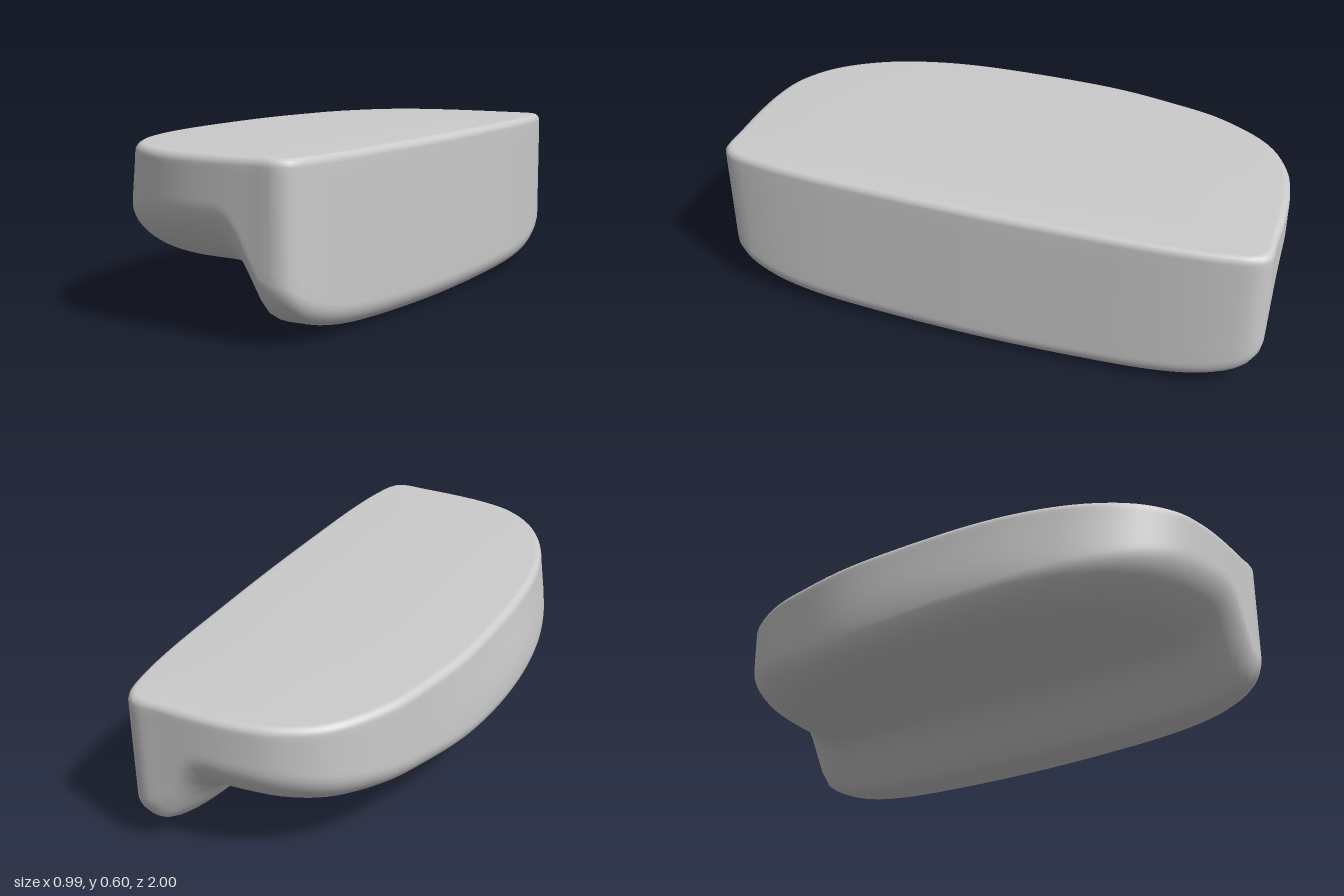
import * as THREE from 'three';

const SEG = 144;         // points around the outline
const TOP_R = 0.028;     // rounding of the upper edge
const KEEL_R = 0.075;    // rounding of the keel's lower edge
const HEIGHT = 0.6;

const { smoothstep: smooth, lerp } = THREE.MathUtils;

// D-shaped plan: straight side at +x, bowed side at -x
function planOutline() {
  const straight = [[0.488, 0.35], [0.477, 0.68], [0.457, 0.87], [0.433, 0.965], [0.4, 0.997], [0.3, 1], [0.15, 1],
    [0.02, 0.99], [-0.12, 0.957], [-0.26, 0.866]];
  const bow = [[-0.38, 0.7], [-0.459, 0.475], [-0.495, 0.18], [-0.481, -0.21], [-0.43, -0.475], [-0.376, -0.67]];
  const mirrored = straight.slice().reverse().map(([x, z]) => [x, -z]);
  const points = [[0.493, 0], ...straight, ...bow, ...mirrored];
  const curve = new THREE.CatmullRomCurve3(points.map(([x, z]) => new THREE.Vector3(x, 0, z)), true);
  return curve.getSpacedPoints(SEG).slice(0, SEG);
}

// Rise of an elliptical edge of given depth and height at distance d from the wall
const edgeRise = (d, depth, height) => {
  const w = Math.max(0, 1 - d / depth);
  return height * (1 - Math.sqrt(1 - w * w));
};

// Underside: a flat shelf with a broad soft rim that steps down to a narrow keel near +x
function underside(x, z, d) {
  const zz = Math.min(1, z * z);
  const shelf = 0.2 + 0.04 * zz + edgeRise(d, 0.14 + 0.2 * zz, 0.1 + 0.1 * zz);
  const keel = 0.002 + 0.05 * zz + 0.08 * zz ** 4 + edgeRise(d, KEEL_R, KEEL_R);
  const step = smooth(x, 0.08 * zz, 0.32 + 0.03 * zz) ** (2.2 + 0.6 * zz);
  return lerp(shelf, keel, step);
}

function bodyGeometry() {
  const outline = planOutline();
  const positions = [];
  const index = [];

  // Move an outline point inward around the edge, then by a share of the way to the core
  const inset = (p, r, share, angle) => {
    const cx = 0.1, cz = p.z * 0.5;
    const reach = Math.hypot(p.x - cx, p.z - cz);
    const edge = r * (1 - Math.cos(angle));
    const d = edge + (reach - edge) * share;
    const k = d / reach;
    return { x: p.x + (cx - p.x) * k, z: p.z + (cz - p.z) * k, d, k };
  };

  const rings = [];
  // Top face, from the core outward
  for (let i = 0; i < 8; i++) rings.push({ kind: 'top', share: 1 - i / 8, angle: Math.PI / 2 });
  // Rounded upper edge
  for (let i = 0; i < 5; i++) rings.push({ kind: 'top', share: 0, angle: (Math.PI / 2) * (1 - i / 5) });
  // Wall
  for (let i = 0; i <= 10; i++) rings.push({ kind: 'wall', share: i / 10 });
  // Rounded lower edge
  for (let i = 1; i <= 8; i++) rings.push({ kind: 'low', share: 0, angle: (Math.PI / 2) * (i / 8) });
  // Underside, back to the core
  for (let i = 1; i <= 26; i++) rings.push({ kind: 'low', share: i / 26, angle: Math.PI / 2 });

  for (const ring of rings) {
    for (const p of outline) {
      let x = p.x, y, z = p.z;
      if (ring.kind === 'wall') {
        y = lerp(HEIGHT - 0.006 - TOP_R, underside(x, z, 0), ring.share);
      } else {
        const q = inset(p, ring.kind === 'top' ? TOP_R : KEEL_R, ring.share, ring.angle);
        x = q.x;
        z = q.z;
        y = ring.kind === 'top'
          ? HEIGHT - 0.006 * (1 - q.k) ** 2 - edgeRise(q.d, TOP_R, TOP_R)
          : underside(x, z, q.d);
      }
      // The bowed side leans in towards the top, mostly at the front
      if (x < 0) x *= 1 - 0.07 * smooth(y, 0.32, 0.64) * smooth(z, -0.7, 0.2);
      positions.push(x, y, z);
    }
  }

  for (let i = 0; i < rings.length - 1; i++) {
    for (let j = 0; j < SEG; j++) {
      const a = i * SEG + j, b = i * SEG + (j + 1) % SEG;
      index.push(a, b, a + SEG, b, b + SEG, a + SEG);
    }
  }

  const geometry = new THREE.BufferGeometry();
  geometry.setAttribute('position', new THREE.Float32BufferAttribute(positions, 3));
  geometry.setIndex(index);
  geometry.computeVertexNormals();
  return geometry;
}

export function createModel() {
  const group = new THREE.Group();
  group.name = 'roundedBlock';
  const body = new THREE.Mesh(bodyGeometry(), new THREE.MeshStandardMaterial({ color: 0xcccccc }));
  body.name = 'body';
  group.add(body);
  return group;
}
